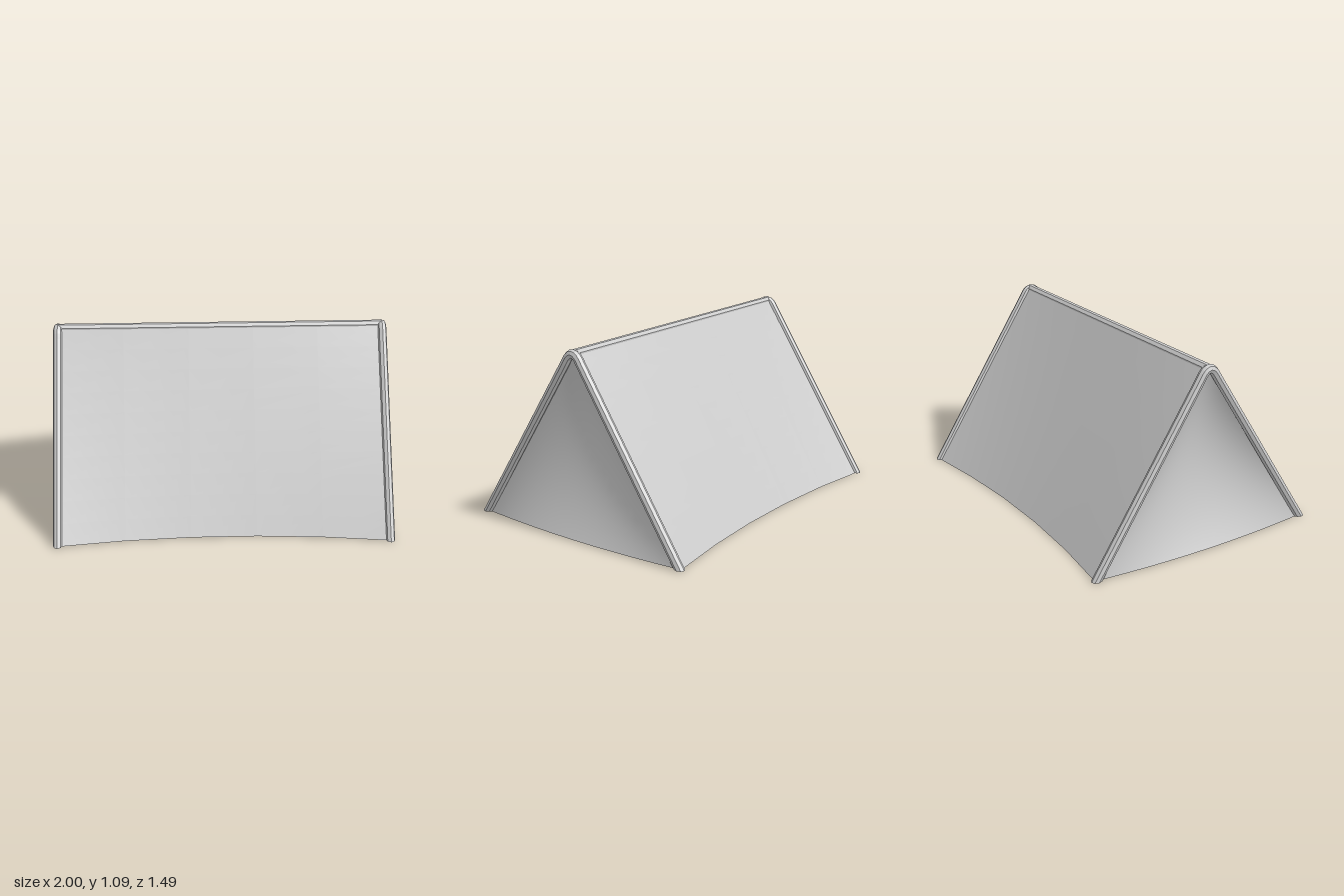
import * as THREE from 'three';
import { ParametricGeometry } from 'three/addons/geometries/ParametricGeometry.js';

const POLE_X = 0.96, POLE_R = 0.027, SIDES = 8, STEPS = 160;
const FOOT_Z = 0.713, BEND_Z = 0.05, BEND_Y = 1.015;

export function createModel() {
  const group = new THREE.Group();
  group.name = 'tent';
  const solid = new THREE.MeshStandardMaterial({ color: 0xcccccc, flatShading: true });
  const cloth = new THREE.MeshStandardMaterial({ color: 0xcccccc, side: THREE.DoubleSide });

  const add = (name, geometry, material) => {
    const mesh = new THREE.Mesh(geometry, material);
    mesh.name = name;
    group.add(mesh);
    return mesh;
  };

  // Arched pole: two straight legs joined by a small rounded apex
  const V = (z, y) => new THREE.Vector3(0, y, z);
  const arch = new THREE.CurvePath();
  arch.add(new THREE.LineCurve3(V(FOOT_Z, 0), V(BEND_Z, BEND_Y)));
  arch.add(new THREE.CubicBezierCurve3(
    V(BEND_Z, BEND_Y), V(0.018, 1.075), V(-0.018, 1.075), V(-BEND_Z, BEND_Y)));
  arch.add(new THREE.LineCurve3(V(-BEND_Z, BEND_Y), V(-FOOT_Z, 0)));
  const poleGeo = new THREE.TubeGeometry(arch, STEPS, POLE_R, SIDES);

  // Slide the end rings along the legs so the feet stand flat on the ground
  const p = poleGeo.attributes.position;
  const slope = (FOOT_Z - BEND_Z) / BEND_Y;
  for (const ring of [0, STEPS]) {
    const side = ring === 0 ? 1 : -1;
    for (let j = 0; j <= SIDES; j++) {
      const i = ring * (SIDES + 1) + j;
      p.setZ(i, p.getZ(i) + side * slope * p.getY(i));
      p.setY(i, 0);
    }
  }

  for (const s of [-1, 1]) {
    const end = s > 0 ? 'left' : 'right';
    add(end + 'Pole', poleGeo, solid).position.x = s * POLE_X;

    // Foot caps
    for (const t of [-1, 1]) {
      const cap = add(end + 'PoleFoot', new THREE.CircleGeometry(POLE_R, SIDES), solid);
      cap.rotation.x = Math.PI / 2;
      cap.scale.y = Math.hypot(1, slope);
      cap.position.set(s * POLE_X, 0, t * FOOT_Z);
    }

    // Triangular end cloth: sunk inward at mid height, flaring outward at the ground
    add(end + 'EndPanel', new ParametricGeometry((u, v, out) => {
      const a = u * 2 - 1;
      const half = THREE.MathUtils.lerp(FOOT_Z, 0.03, v);
      const flare = (0.04 - 0.5 * v + 0.46 * v * v) * (1 - a * a);
      out.set(s * (POLE_X + flare), 1.045 * v, a * half);
    }, 20, 16), cloth);

    // Sloping roof cloth, its lower hem drawn inward at the middle
    add(s > 0 ? 'frontRoofPanel' : 'backRoofPanel', new ParametricGeometry((u, v, out) => {
      const a = u * 2 - 1;
      const hem = 0.647 + 0.076 * a * a;
      out.set(a * 0.955, 1.062 * (1 - v), s * THREE.MathUtils.lerp(0.025, hem, v));
    }, 5, 10), cloth);
  }

  // Ridge pole along the top, flat side up
  const ridge = add('ridgePole', new THREE.CylinderGeometry(
    0.03, 0.03, POLE_X * 2, SIDES, 1, false, Math.PI / SIDES), solid);
  ridge.rotation.z = Math.PI / 2;
  ridge.position.y = 1.055;

  return group;
}
